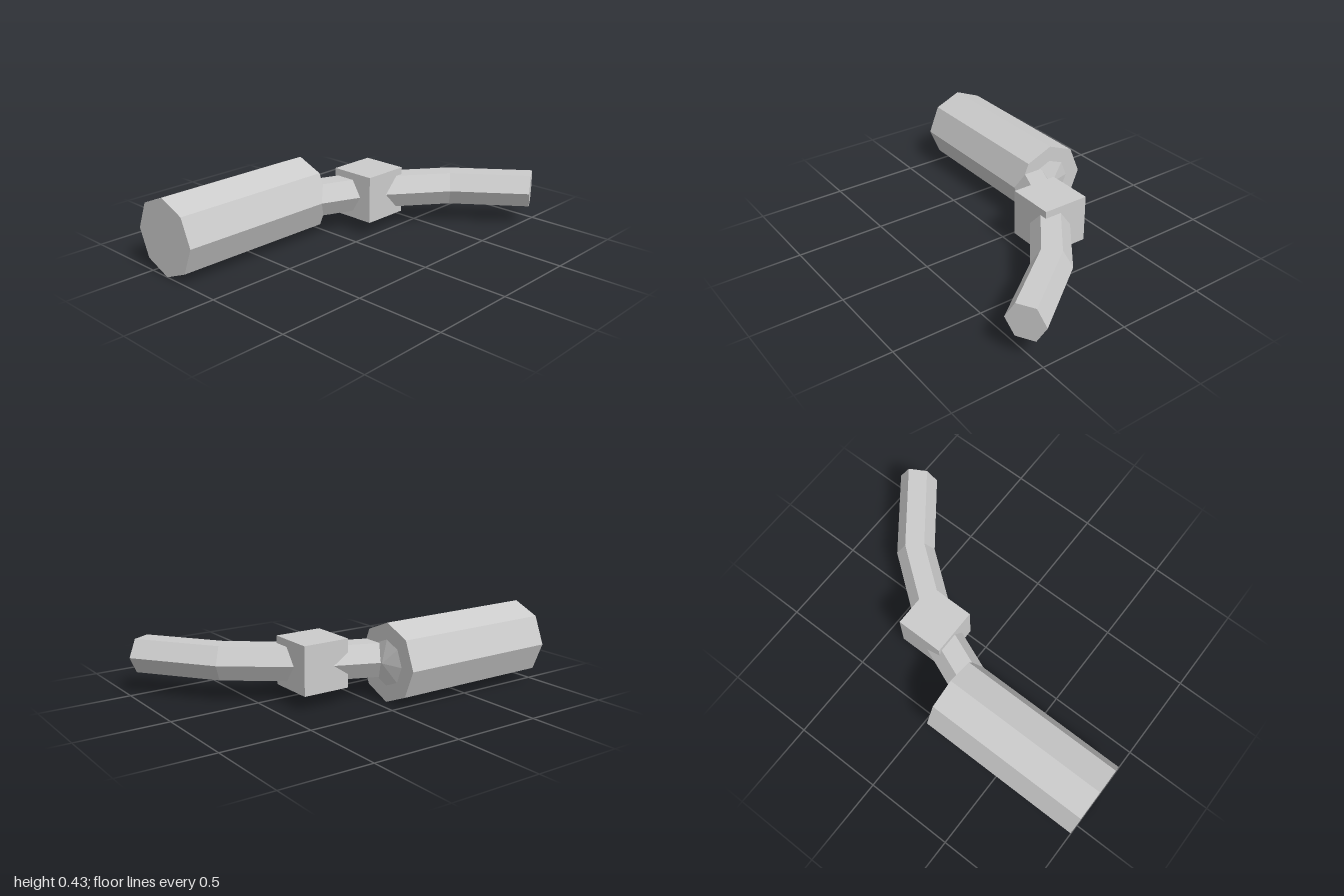
import * as THREE from 'three';

const material = new THREE.MeshStandardMaterial({ color: 0xcccccc, flatShading: true });
const Y = 0.216; // height of the common axis

function addPart(group, name, geometry, x, z) {
  const mesh = new THREE.Mesh(geometry, material);
  mesh.name = name;
  mesh.position.set(x, Y, z);
  group.add(mesh);
}

// Bent hexagonal tube lying flat; stations are [x, z, normalX, normalZ]
function bentTube(stations, radius, sides) {
  const rings = stations.map(([x, z, nx, nz]) => {
    const n = new THREE.Vector3(nx, 0, nz).normalize();
    return Array.from({ length: sides }, (_, j) => {
      const a = (j / sides) * Math.PI * 2;
      return new THREE.Vector3(x, radius * Math.sin(a), z).addScaledVector(n, radius * Math.cos(a));
    });
  });
  const points = [];
  const first = rings[0], last = rings[rings.length - 1];
  for (let j = 0; j < sides; j++) {
    const k = (j + 1) % sides;
    for (let i = 0; i < rings.length - 1; i++) {
      const a = rings[i][j], b = rings[i][k], c = rings[i + 1][k], d = rings[i + 1][j];
      points.push(a, d, c, a, c, b);
    }
    // end caps
    if (j > 0 && j < sides - 1) points.push(first[0], first[j], first[k], last[0], last[k], last[j]);
  }
  const geometry = new THREE.BufferGeometry().setFromPoints(points);
  geometry.computeVertexNormals();
  return geometry;
}

export function createModel() {
  const group = new THREE.Group();

  // Thick octagonal handle along z
  const handle = new THREE.CylinderGeometry(0.215, 0.215, 0.94, 8).rotateX(Math.PI / 2);
  addPart(group, 'handle', handle, -0.374, 0.53);

  // Shallow faceted dome on the back of the handle
  const dome = new THREE.ConeGeometry(0.125, 0.03, 8, 1, true).rotateX(-Math.PI / 2);
  addPart(group, 'handleDome', dome, -0.372, 0.045);

  // Square joint block
  addPart(group, 'jointBlock', new THREE.BoxGeometry(0.266, 0.266, 0.27), -0.132, -0.245);

  // Curved arm running from the handle through the block
  const arm = bentTube([
    [-0.3, 0.17, 0.927, 0.375],
    [-0.13, -0.25, 0.865, 0.5],
    [0.155, -0.622, 0.695, 0.72],
    [0.533, -0.907, 0.49, 0.87],
  ], 0.107, 6);
  addPart(group, 'curvedArm', arm, 0, 0);

  return group;
}
